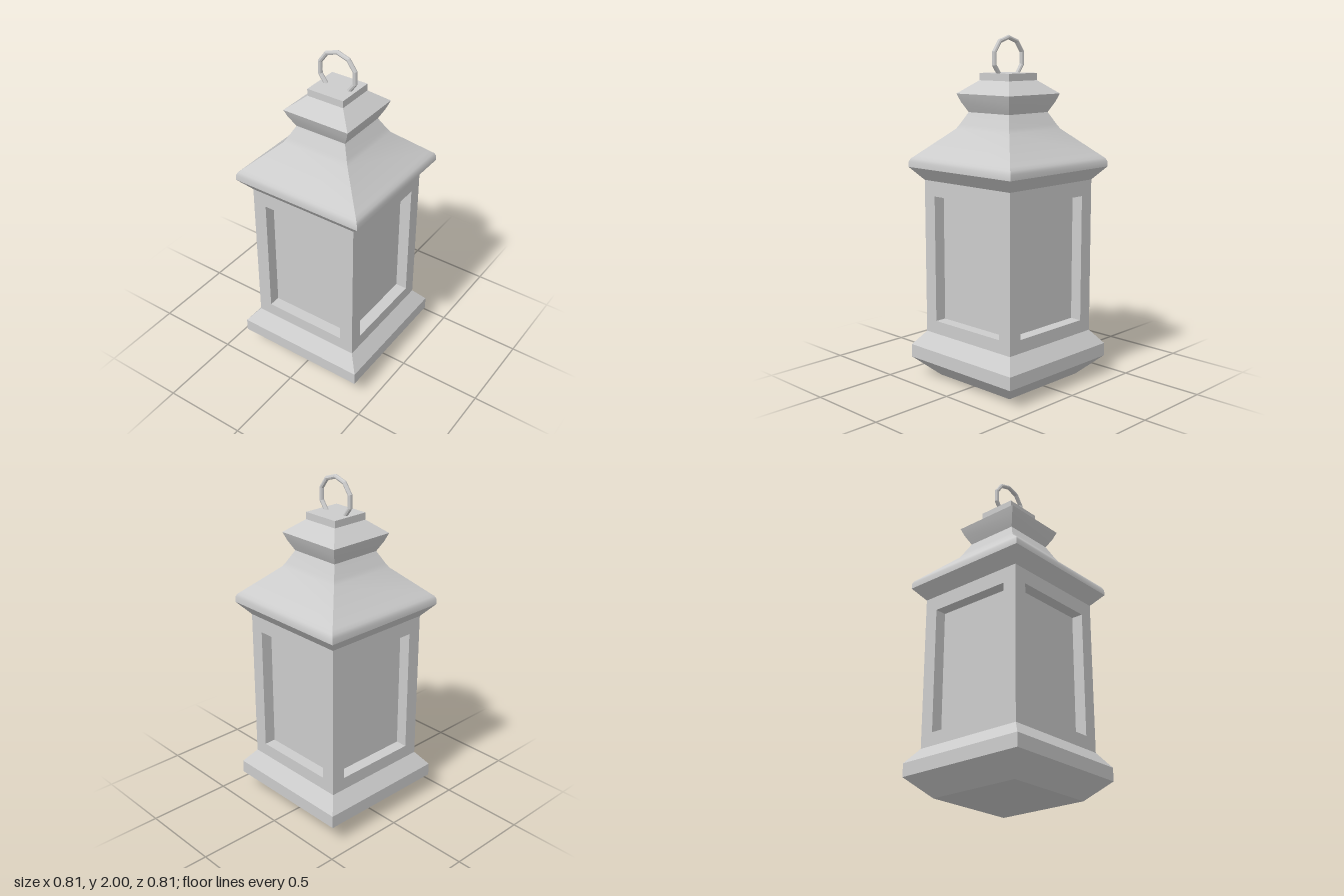
import * as THREE from 'three';
import { toCreasedNormals } from 'three/addons/utils/BufferGeometryUtils.js';

const material = new THREE.MeshStandardMaterial({ color: 0xcccccc });

function addMesh(parent, name, geometry) {
  const mesh = new THREE.Mesh(geometry, material);
  mesh.name = name;
  parent.add(mesh);
  return mesh;
}

// Square solid from a [half-width, height] profile running bottom to top
function squareLoft(profile, crease = 0.2) {
  const points = profile.map(([r, y]) => new THREE.Vector2(r * Math.SQRT2, y));
  return toCreasedNormals(new THREE.LatheGeometry(points, 4, Math.PI / 4), crease);
}

// Flat-shaded convex polygons, corners counter-clockwise from outside
function polygons(list) {
  const positions = [];
  for (const p of list) {
    for (let i = 1; i < p.length - 1; i++) positions.push(...p[0], ...p[i], ...p[i + 1]);
  }
  const geometry = new THREE.BufferGeometry();
  geometry.setAttribute('position', new THREE.Float32BufferAttribute(positions, 3));
  geometry.computeVertexNormals();
  return geometry;
}

const HALF = 0.34, BOTTOM = 0.273, TOP = 1.178;      // lantern body
const LOW = 0.345, HIGH = 1.155;                     // where the corner bevels reach full width
const BEVELS = [0.022, 0.011, 0.011, 0.011];         // bevel after each side
const PANE = { x: 0.257, y0: 0.35, y1: 1.09, z: 0.27 };

function createSide(k) {
  const side = new THREE.Group();
  side.name = 'bodySide';
  const left = HALF - BEVELS[(k + 3) % 4], right = HALF - BEVELS[k];

  // Frame with a window opening
  const frame = new THREE.Shape([
    [-HALF, BOTTOM], [HALF, BOTTOM], [right, LOW], [right, HIGH],
    [HALF, TOP], [-HALF, TOP], [-left, HIGH], [-left, LOW],
  ].map(([x, y]) => new THREE.Vector2(x, y)));
  const opening = [[-PANE.x, PANE.y0], [PANE.x, PANE.y0], [PANE.x, PANE.y1], [-PANE.x, PANE.y1]];
  frame.holes.push(new THREE.Path(opening.map(([x, y]) => new THREE.Vector2(x, y))));
  addMesh(side, 'windowFrame', new THREE.ShapeGeometry(frame)).position.z = HALF;

  // Inner walls of the opening and the recessed pane
  const walls = opening.map((a, i) => {
    const b = opening[(i + 1) % 4];
    return [[...a, HALF], [...b, HALF], [...b, PANE.z], [...a, PANE.z]];
  });
  addMesh(side, 'windowReveal', polygons(walls));
  addMesh(side, 'windowPane', polygons([opening.map((p) => [...p, PANE.z])]));

  // Bevelled corner post, tapering to a point at both ends
  addMesh(side, 'cornerBevel', polygons([[
    [HALF, BOTTOM, HALF], [HALF, LOW, right], [HALF, HIGH, right],
    [HALF, TOP, HALF], [right, HIGH, HALF], [right, LOW, HALF],
  ]]));

  side.rotation.y = k * Math.PI / 2;
  return side;
}

export function createModel() {
  const lantern = new THREE.Group();
  lantern.name = 'lantern';

  // Base plinth
  addMesh(lantern, 'base', squareLoft([
    [0, 0], [0.285, 0], [0.405, 0.113], [0.405, 0.19], [HALF, BOTTOM],
  ]));

  // Four windowed sides
  for (let k = 0; k < 4; k++) lantern.add(createSide(k));

  // Eave underside, then the softly curved roof
  addMesh(lantern, 'eave', squareLoft([[HALF, TOP], [0.405, 1.253]]));
  addMesh(lantern, 'roof', squareLoft([
    [0.405, 1.253], [0.404, 1.285], [0.395, 1.303], [0.376, 1.32],
    [0.211, 1.472], [0.196, 1.497], [0.159, 1.567],
  ], 0.85));

  // Chimney cap and top block
  addMesh(lantern, 'chimneyCap', squareLoft([
    [0.159, 1.567], [0.19, 1.625], [0.208, 1.672], [0.115, 1.747],
  ]));
  addMesh(lantern, 'topBlock', squareLoft([[0.115, 1.747], [0.115, 1.788], [0, 1.788]]));

  // Ten-sided carrying ring
  const ring = new THREE.TorusGeometry(0.117, 0.013, 8, 10);
  ring.rotateZ(Math.PI / 2);
  addMesh(lantern, 'carryingRing', toCreasedNormals(ring, 0.2)).position.y = 1.87;

  return lantern;
}
